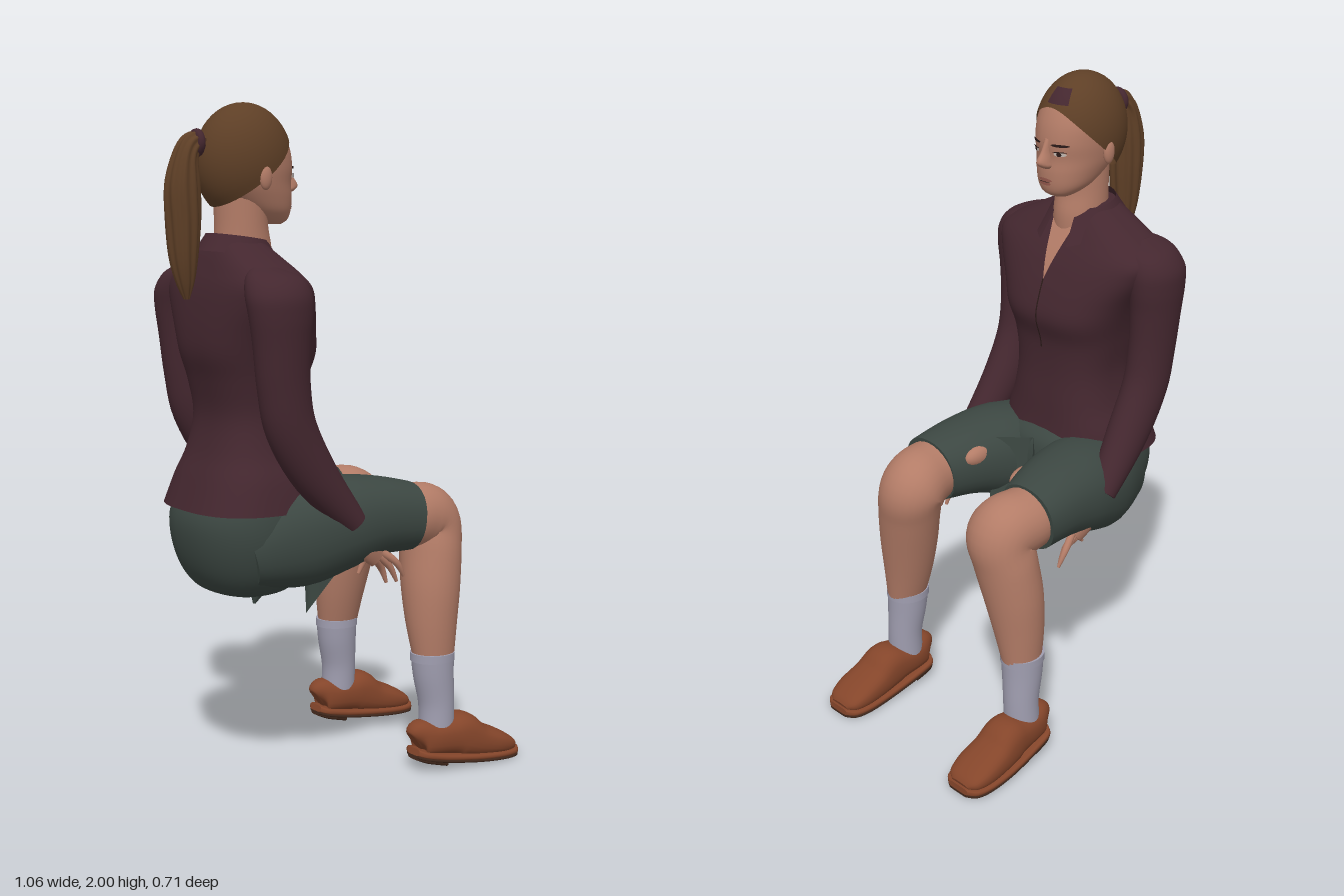
import * as THREE from 'three';

const mat = (name, color) => {
  const m = new THREE.MeshStandardMaterial({ color, side: THREE.DoubleSide });
  m.name = name;
  return m;
};

// Catmull-Rom subdivision of rows of numbers
function smooth(rows, sub = 5) {
  const out = [];
  for (let i = 0; i < rows.length - 1; i++) {
    const [a, b, c, d] = [-1, 0, 1, 2].map(k => rows[Math.min(rows.length - 1, Math.max(0, i + k))]);
    for (let s = 0; s < sub; s++) {
      const t = s / sub;
      out.push(b.map((p, k) => 0.5 * (2 * p + (c[k] - a[k]) * t + (2 * a[k] - 5 * p + 4 * c[k] - d[k]) * t * t
        + (3 * p - a[k] - 3 * c[k] + d[k]) * t * t * t)));
    }
  }
  out.push(rows[rows.length - 1]);
  return out;
}

// Skin rings [x, y, z, inPlaneRadius, zRadius] along a path; "level" keeps the rings horizontal
function loft(rows, { e = 2, n = 28, level = false, ripple = 0 } = {}) {
  const pts = smooth(rows), pos = [], idx = [];
  const ring = i => {
    const [x, y, z, ru, rv] = pts[i];
    const p = pts[Math.max(0, i - 1)], q = pts[Math.min(pts.length - 1, i + 1)];
    const t = level ? new THREE.Vector2(0, 1) : new THREE.Vector2(q[0] - p[0], q[1] - p[1]).normalize();
    for (let j = 0; j < n; j++) {
      const a = j / n * Math.PI * 2, c = Math.cos(a), s = Math.sin(a);
      const k = 1 + ripple * Math.cos(a * 9 + i * 0.12);
      const u = ru * k * Math.sign(c) * Math.abs(c) ** (2 / e), v = rv * k * Math.sign(s) * Math.abs(s) ** (2 / e);
      pos.push(x - t.y * u, y + t.x * u, z + v);
    }
  };
  pts.forEach((_, i) => ring(i));
  for (let i = 0; i < pts.length - 1; i++) for (let j = 0; j < n; j++) {
    const a = i * n + j, b = i * n + (j + 1) % n;
    idx.push(a, b, b + n, a, b + n, a + n);
  }
  for (const i of [0, pts.length - 1]) {
    const base = pos.length / 3;
    ring(i);
    pos.push(...pts[i].slice(0, 3));
    for (let j = 0; j < n; j++) {
      const a = base + j, b = base + (j + 1) % n;
      idx.push(base + n, ...(i ? [a, b] : [b, a]));
    }
  }
  return geometry(pos, idx);
}

function geometry(pos, idx) {
  const g = new THREE.BufferGeometry();
  g.setAttribute('position', new THREE.Float32BufferAttribute(pos, 3));
  g.setIndex(idx);
  g.computeVertexNormals();
  return g;
}

// Upright body from rows [y, backX, frontX, halfWidth], listed from the bottom up
const body = (rows, o = {}) =>
  loft(rows.map(([y, b, f, w]) => [(b + f) / 2, y, 0, (f - b) / 2, w]), { level: true, ...o });

// Front surface point of an upright body, pushed out slightly
function surfaceOf(rows, e) {
  const d = smooth(rows);
  return (y, z, out = 0.004) => {
    let i = 0;
    while (i < d.length - 2 && d[i + 1][0] < y) i++;
    const t = (y - d[i][0]) / (d[i + 1][0] - d[i][0]);
    const [, b, f, w] = d[i].map((p, k) => p + (d[i + 1][k] - p) * t);
    return [(b + f) / 2 + (f - b) / 2 * Math.max(0, 1 - Math.abs(z / w) ** e) ** (1 / e) + out, y, z];
  };
}

// Open sheet from a function of u, v in 0..1
function sheet(nu, nv, fn) {
  const pos = [], idx = [];
  for (let i = 0; i <= nu; i++) for (let j = 0; j <= nv; j++) pos.push(...fn(i / nu, j / nv));
  for (let i = 0; i < nu; i++) for (let j = 0; j < nv; j++) {
    const a = i * (nv + 1) + j, b = a + nv + 1;
    idx.push(a, b, b + 1, a, b + 1, a + 1);
  }
  return geometry(pos, idx);
}

export function createModel() {
  const root = new THREE.Group();
  root.name = 'seatedWoman';
  const skin = mat('skin', 0xb37c67), hair = mat('hair', 0x5e3f26), shirt = mat('shirt', 0x44272f),
    shorts = mat('shorts', 0x3c4742), sock = mat('sock', 0xa09eb0), leather = mat('leather', 0x84452a),
    sole = mat('sole', 0x40271b), dark = mat('dark', 0x2a1a18), white = mat('eyeWhite', 0xc9bdb5), lip = mat('lip', 0x9a5c50);
  const add = (name, geo, m) => {
    const mesh = new THREE.Mesh(geo, m);
    mesh.name = name;
    root.add(mesh);
    return mesh;
  };
  const ball = (name, m, p, r) => {
    const b = add(name, new THREE.SphereGeometry(1, 20, 14), m);
    b.position.set(...p);
    b.scale.set(...r);
  };

  // Torso, open neckline and placket
  const torso = [[0.83, -0.486, -0.09, 0.24], [0.92, -0.452, -0.102, 0.218], [1.0, -0.42, -0.108, 0.187], [1.1, -0.4, -0.115, 0.172],
    [1.2, -0.415, -0.11, 0.186], [1.28, -0.437, -0.087, 0.207], [1.35, -0.44, -0.1, 0.235], [1.43, -0.433, -0.13, 0.28],
    [1.48, -0.424, -0.155, 0.295], [1.52, -0.412, -0.18, 0.25], [1.56, -0.398, -0.205, 0.175], [1.6, -0.38, -0.232, 0.1],
    [1.615, -0.372, -0.24, 0.08]];
  add('shirtBody', body(torso, { e: 2.7, n: 56 }), shirt);
  const chest = surfaceOf(torso, 2.7);
  add('neckline', sheet(12, 8, (u, v) => chest(1.4 + 0.2 * u, (v - 0.5) * 0.11 * u)), skin);
  add('placket', sheet(12, 1, (u, v) => chest(1.18 + 0.22 * u, (v - 0.5) * 0.005)), dark);
  add('neck', body([[1.5, -0.36, -0.19, 0.08], [1.58, -0.36, -0.188, 0.079], [1.65, -0.358, -0.2, 0.078], [1.73, -0.36, -0.2, 0.078]]), skin);

  // Folded collar, lower and pointed at the front
  add('collar', sheet(40, 4, (u, v) => {
    const a = 0.42 + u * (Math.PI * 2 - 0.84), f = (1 + Math.cos(a)) / 2;
    const r = 1 + v * 0.4, sag = v * (0.05 + 0.055 * f * f);
    return [-0.295 + 0.088 * r * Math.cos(a) + 0.03 * f * v, 1.628 - 0.025 * f - sag, 0.092 * r * Math.sin(a)];
  }), shirt);

  // Head and face
  const head = [[1.652, -0.215, -0.15, 0.035], [1.665, -0.25, -0.132, 0.056], [1.69, -0.3, -0.124, 0.078], [1.73, -0.355, -0.122, 0.094],
    [1.77, -0.395, -0.125, 0.105], [1.82, -0.41, -0.122, 0.112], [1.88, -0.404, -0.135, 0.111], [1.94, -0.375, -0.168, 0.085],
    [1.98, -0.31, -0.23, 0.035]];
  add('head', body(head, { e: 2.15, n: 36 }), skin);
  add('nose', body([[1.742, -0.15, -0.115, 0.014], [1.752, -0.15, -0.096, 0.02], [1.767, -0.15, -0.086, 0.017],
    [1.795, -0.15, -0.104, 0.011], [1.83, -0.15, -0.12, 0.01]], { n: 16 }), skin);
  const face = surfaceOf(head, 2.15);
  const plate = (name, m, y0, z0, hw, hh, out = 0.004) => add(name, sheet(12, 4, (u, v) => {
    const a = u * 2 - 1;
    return face(y0 + hh * (v * 2 - 1) * Math.sqrt(1 - a * a), z0 + hw * a, out);
  }), m);
  plate('upperLip', lip, 1.708, 0, 0.026, 0.005, 0.005);
  plate('lowerLip', lip, 1.698, 0, 0.022, 0.006, 0.006);
  plate('mouthLine', dark, 1.703, 0, 0.025, 0.001, 0.008);

  // Swept-back hair cap whose edge runs from forehead to temple, ear and nape
  const cap = (r, theta, phi) => [-0.27 + 0.15 * r * Math.sin(theta) * Math.cos(phi), 1.83 + 0.17 * r * Math.cos(theta),
    0.123 * r * Math.sin(theta) * Math.sin(phi)];
  add('hairCap', sheet(48, 18, (u, v) => {
    const phi = u * Math.PI * 2;
    return cap(1, v * THREE.MathUtils.degToRad(59 + 40 * (1 - Math.cos(phi)) + 10 * Math.sin(phi) ** 2), phi);
  }), hair);
  add('hairPatch', sheet(8, 8, (u, v) => cap(1.008, 0.62 + 0.34 * v, -0.5 + 0.7 * u)), shirt);

  // Ponytail and its band
  add('ponytail', loft([[-0.39, 1.875, 0, 0.025, 0.025], [-0.433, 1.882, 0, 0.032, 0.032], [-0.462, 1.845, 0, 0.035, 0.04],
    [-0.473, 1.76, 0, 0.05, 0.048], [-0.472, 1.66, 0, 0.049, 0.048], [-0.471, 1.56, 0, 0.04, 0.04],
    [-0.466, 1.49, 0, 0.026, 0.027], [-0.462, 1.44, 0, 0.008, 0.01]], { n: 54, ripple: 0.08 }), hair);
  const band = add('hairBand', new THREE.TorusGeometry(0.028, 0.013, 10, 24), shirt);
  band.position.set(-0.425, 1.882, 0);
  band.rotation.y = Math.PI / 2;

  // Seat of the shorts with the cloth hanging between the legs
  add('shortsSeat', body([[0.562, -0.34, -0.23, 0.08], [0.585, -0.405, -0.16, 0.15], [0.64, -0.45, -0.09, 0.2], [0.72, -0.477, -0.065, 0.228],
    [0.8, -0.481, -0.06, 0.235], [0.87, -0.45, -0.07, 0.222], [0.91, -0.4, -0.1, 0.17]], { e: 2.3, n: 40 }), shorts);
  add('frontCloth', sheet(16, 8, (u, v) => {
    const z = u * 2 - 1, a = Math.abs(z), bottom = 0.465 + 0.17 * a;
    return [-0.055 + 0.085 * a - 0.02 * v, bottom + (0.88 - bottom) * v, 0.09 * z];
  }), shorts);
  add('rearCloth', body([[0.52, -0.245, -0.238, 0.005], [0.6, -0.26, -0.17, 0.05], [0.66, -0.28, -0.15, 0.07]], { n: 16 }), shorts);

  for (const [side, s] of [['left', -1], ['right', 1]]) {
    const limb = (name, rows, m, o) => add(side + name, loft(rows.map(r => r.map((p, k) => (k === 2 ? p * s : p))), o), m);

    // Facial features
    plate(side + 'Eye', white, 1.79, s * 0.046, 0.018, 0.006);
    plate(side + 'Iris', dark, 1.79, s * 0.045, 0.007, 0.006, 0.006);
    plate(side + 'EyeLid', dark, 1.797, s * 0.046, 0.02, 0.002, 0.006);
    plate(side + 'Brow', dark, 1.816, s * 0.046, 0.026, 0.004);
    ball(side + 'Ear', skin, [-0.265, 1.785, s * 0.115], [0.02, 0.036, 0.013]);

    // Sleeve, its top sloping into the shoulder line
    limb('Sleeve', [[-0.32, 1.535, 0.2, 0.04, 0.03], [-0.32, 1.508, 0.238, 0.082, 0.064], [-0.317, 1.46, 0.264, 0.1, 0.077],
      [-0.315, 1.4, 0.274, 0.097, 0.073], [-0.313, 1.32, 0.274, 0.087, 0.068], [-0.305, 1.2, 0.271, 0.08, 0.064],
      [-0.28, 1.08, 0.27, 0.077, 0.063], [-0.2, 0.94, 0.272, 0.068, 0.06], [-0.08, 0.797, 0.285, 0.042, 0.045]], shirt);

    // Hand tucked under the thigh with spread fingers
    limb('Palm', [[-0.09, 0.81, 0.285, 0.03, 0.027], [-0.05, 0.75, 0.282, 0.03, 0.024], [-0.01, 0.705, 0.275, 0.036, 0.02],
      [0.02, 0.675, 0.27, 0.03, 0.014]], skin);
    [[0.03, 0.695, 0.105, 0.615, 0.285], [0.02, 0.685, 0.09, 0.598, 0.27], [0.01, 0.675, 0.063, 0.595, 0.255],
      [-0.01, 0.7, -0.035, 0.632, 0.25]].forEach(([x0, y0, x1, y1, z], i) =>
      limb('Finger' + i, [[x0, y0, 0.27, 0.013, 0.012], [(x0 + x1) / 2 + 0.008, (y0 + y1) / 2 + 0.006, z, 0.011, 0.011],
        [x1, y1, z, 0.005, 0.005]], skin, { n: 10 }));

    // Shorts leg and the worn patch inside it
    limb('ShortsLeg', [[-0.36, 0.7, 0.115, 0.1, 0.1], [-0.22, 0.74, 0.155, 0.147, 0.135], [-0.09, 0.775, 0.17, 0.145, 0.148],
      [0.04, 0.79, 0.189, 0.122, 0.131], [0.165, 0.781, 0.212, 0.104, 0.107]], shorts, { e: 2.2 });
    ball(side + 'ThighPatch', skin, [0.065, 0.835, s * 0.1], [0.058, 0.034, 0.028]);

    // Knee and shin
    limb('Leg', [[0.08, 0.787, 0.208, 0.09, 0.09], [0.17, 0.779, 0.208, 0.097, 0.1], [0.232, 0.768, 0.198, 0.105, 0.105],
      [0.262, 0.74, 0.195, 0.1, 0.104], [0.258, 0.67, 0.212, 0.094, 0.102], [0.245, 0.56, 0.232, 0.09, 0.093],
      [0.238, 0.45, 0.247, 0.08, 0.077], [0.238, 0.345, 0.26, 0.066, 0.058]], skin);

    // Sock with a cuff
    limb('Sock', [[0.245, 0.12, 0.268, 0.056, 0.054], [0.246, 0.2, 0.266, 0.056, 0.054], [0.237, 0.29, 0.262, 0.064, 0.06],
      [0.234, 0.355, 0.26, 0.068, 0.063]], sock);
    limb('SockCuff', [[0.234, 0.335, 0.26, 0.07, 0.065], [0.234, 0.36, 0.26, 0.07, 0.065]], sock);

    // Shoe upper, leather welt, dark sole and heel
    limb('Shoe', [[0.163, 0.09, 0.27, 0.035, 0.02], [0.178, 0.098, 0.27, 0.055, 0.045], [0.22, 0.095, 0.271, 0.054, 0.058],
      [0.28, 0.094, 0.274, 0.06, 0.064], [0.325, 0.09, 0.277, 0.07, 0.068], [0.38, 0.067, 0.279, 0.054, 0.071],
      [0.45, 0.049, 0.28, 0.04, 0.072], [0.5, 0.036, 0.28, 0.024, 0.06], [0.52, 0.03, 0.28, 0.01, 0.035]], leather, { e: 2.5 });
    const outline = [[0.158, 0.055, 0.27, 0.03], [0.18, 0.049, 0.27, 0.057], [0.25, 0.035, 0.274, 0.066],
      [0.36, 0.021, 0.279, 0.075], [0.45, 0.014, 0.28, 0.077], [0.505, 0.013, 0.28, 0.067], [0.528, 0.014, 0.28, 0.04]];
    limb('Welt', outline.map(([x, y, z, w]) => [x, y + 0.005, z, 0.01, w]), leather, { e: 4 });
    limb('Sole', outline.map(([x, y, z, w]) => [x, y - 0.007, z, 0.006, w - 0.002]), sole, { e: 4 });
    limb('Heel', [[0.162, 0.044, 0.27, 0.01, 0.03], [0.185, 0.038, 0.27, 0.012, 0.055], [0.245, 0.023, 0.273, 0.012, 0.06]], sole, { e: 4 });
  }
  return root;
}
